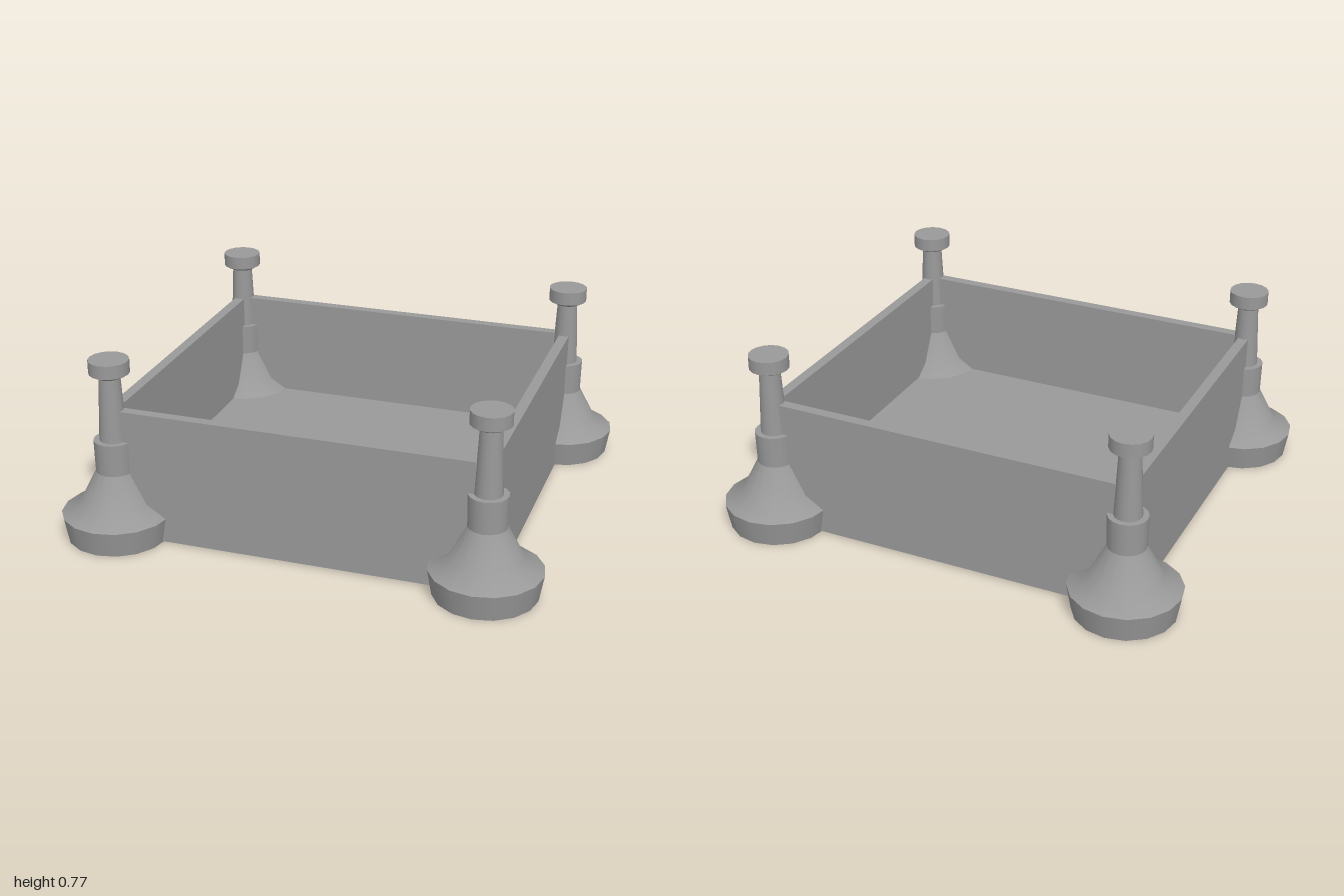
import * as THREE from 'three';

export function createModel() {
  const model = new THREE.Group();
  const grey = new THREE.MeshStandardMaterial({ color: 0x999999 });
  grey.name = 'plainGrey';

  const X = 0.773, Z = 0.7; // tower centres
  const SIDES = 16;

  // Each band is a [radius, height] profile; bands meet at sharp edges
  const bands = {
    foot: [[0, 0], [0.208, 0]],
    base: [[0.208, 0], [0.227, 0.108]],
    flare: [[0.227, 0.108], [0.146, 0.16], [0.078, 0.29]],
    collar: [[0.078, 0.29], [0.08, 0.425]],
    collarTop: [[0.08, 0.425], [0, 0.425]],
    shaft: [[0.056, 0.425], [0.043, 0.7]],
    capUnderside: [[0, 0.697], [0.055, 0.697], [0.082, 0.712]],
    capRim: [[0.082, 0.712], [0.082, 0.768]],
    capTop: [[0.082, 0.768], [0, 0.768]],
  };
  const bandGeometries = Object.entries(bands).map(([name, points]) => [
    name,
    new THREE.LatheGeometry(points.map(([r, y]) => new THREE.Vector2(r, y)), SIDES),
  ]);

  // Four corner towers
  for (const sx of [-1, 1]) {
    for (const sz of [-1, 1]) {
      const tower = new THREE.Group();
      tower.name = `${sz > 0 ? 'front' : 'back'}${sx > 0 ? 'Left' : 'Right'}Tower`;
      for (const [name, geometry] of bandGeometries) {
        const mesh = new THREE.Mesh(geometry, grey);
        mesh.name = name;
        tower.add(mesh);
      }
      tower.position.set(sx * X, 0, sz * Z);
      model.add(tower);
    }
  }

  function addBox(name, w, h, d, x, y, z) {
    const mesh = new THREE.Mesh(new THREE.BoxGeometry(w, h, d), grey);
    mesh.name = name;
    mesh.position.set(x, y, z);
    model.add(mesh);
  }

  // Walls joining the towers
  const bottom = 0.005, top = 0.556, t = 0.044;
  const h = top - bottom, mid = (top + bottom) / 2;
  for (const s of [-1, 1]) {
    addBox(s > 0 ? 'frontWall' : 'backWall', 2 * X, h, t, 0, mid, s * Z);
    addBox(s > 0 ? 'leftWall' : 'rightWall', t, h, 2 * Z, s * X, mid, 0);
  }

  // Courtyard floor slab
  const floorTop = 0.115;
  addBox('floor', 2 * X, floorTop - bottom, 2 * Z, 0, (floorTop + bottom) / 2, 0);

  return model;
}
